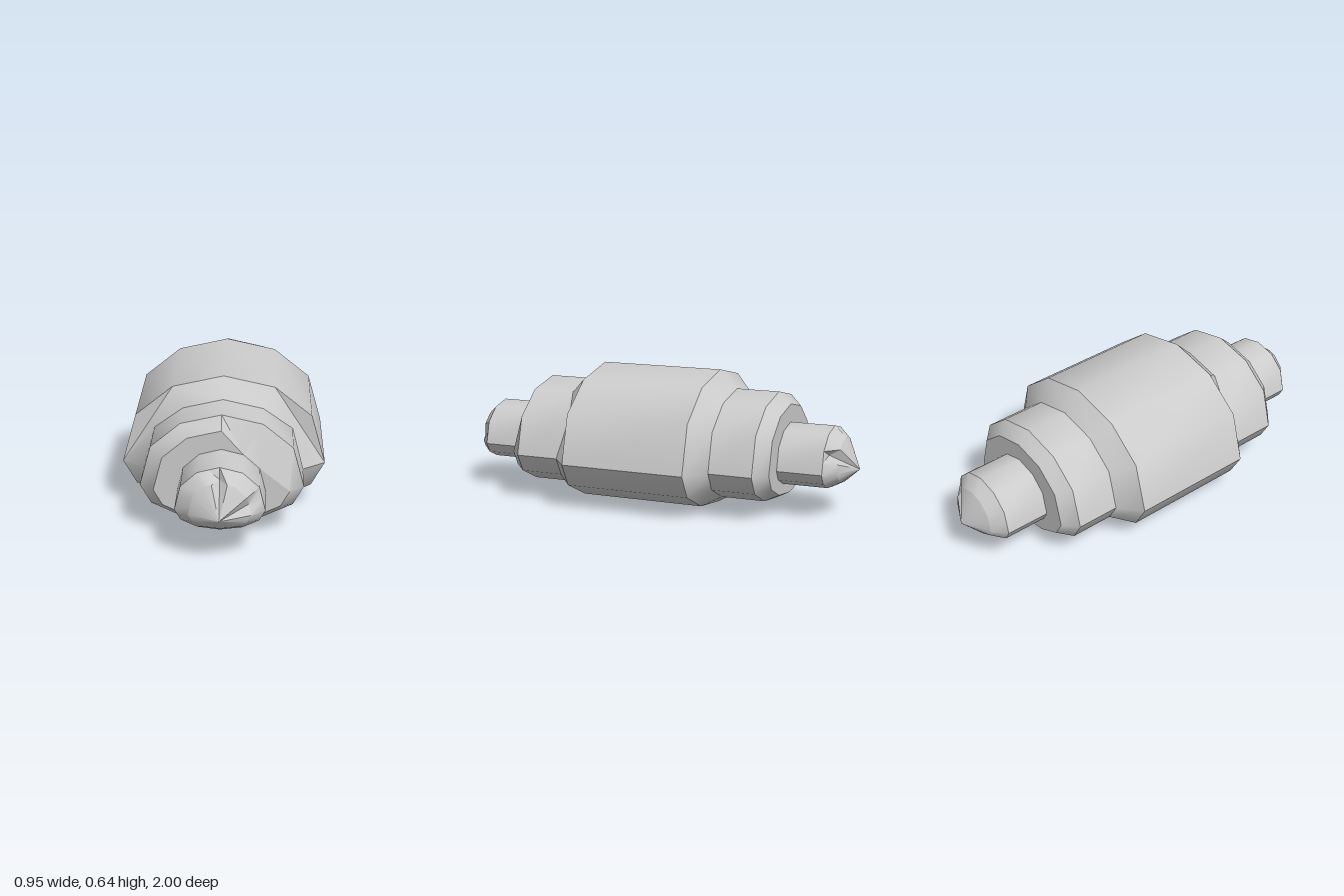
import * as THREE from 'three';
import { mergeGeometries, toCreasedNormals } from 'three/addons/utils/BufferGeometryUtils.js';

const CY = 0.225; // height of the long axis
const RISE = [0, 0.545, 0.875, 1, 0.875, 0.545]; // arch of the upper half

// Twelve-sided ring: half width w, taller upper half, shallow lower half
function ring(w, up, down, z) {
  return Array.from({ length: 12 }, (_, i) => {
    const a = (i * Math.PI) / 6;
    const y = i < 6 ? up * RISE[i] : down * Math.sin(a);
    return new THREE.Vector3(w * Math.cos(a), CY + y, z);
  });
}

// Adds the middle of every side, giving 24 points
function split(points) {
  return points.flatMap((p, i) => [p.clone(), p.clone().lerp(points[(i + 1) % 12], 0.5)]);
}

// Strip of faces between two rings, listed front ring first
function band(front, back) {
  const pos = [];
  const n = front.length;
  const face = (a, b, c) => {
    const area = b.clone().sub(a).cross(c.clone().sub(a)).length();
    if (area > 1e-7) for (const v of [a, b, c]) pos.push(v.x, v.y, v.z);
  };
  for (let i = 0; i < n; i++) {
    const j = (i + 1) % n;
    face(back[i], back[j], front[i]);
    face(back[j], front[j], front[i]);
  }
  const geo = new THREE.BufferGeometry();
  geo.setAttribute('position', new THREE.Float32BufferAttribute(pos, 3));
  return toCreasedNormals(geo, 0.7);
}

export function createModel() {
  const model = new THREE.Group();
  model.name = 'steppedCapsule';
  const material = new THREE.MeshStandardMaterial({ color: 0xcccccc, side: THREE.DoubleSide });

  const addPart = (name, rings) => {
    const bands = [];
    for (let i = 0; i + 1 < rings.length; i++) bands.push(band(rings[i], rings[i + 1]));
    const mesh = new THREE.Mesh(mergeGeometries(bands), material);
    mesh.name = name;
    model.add(mesh);
  };

  const hull = (z) => ring(0.475, 0.423, 0.222, z);
  const collar = (z) => ring(0.37, 0.337, 0.173, z);
  const collarEnd = (z) => ring(0.305, 0.283, 0.142, z);
  const shaft = (z) => ring(0.197, 0.197, 0.092, z);
  const tipRing = (z) => ring(0.135, 0.147, 0.063, z);

  // Front shoulder has its two upper corners cut straight across
  const cutHull = hull(0.305);
  const cutCollar = collar(0.39);
  for (const i of [1, 5]) {
    cutHull[i].copy(cutHull[i - 1]).lerp(cutHull[i + 1], 0.5);
    cutCollar[i].z = 0.345;
  }

  // Main body with both shoulders
  addPart('mainBody', [cutCollar, cutHull, hull(0.305), hull(-0.305), collar(-0.39)]);

  // Front collar: one upper quarter of its end slopes right into the shaft
  const frontEnd = collarEnd(0.66);
  for (const i of [1, 2]) frontEnd[i].copy(shaft(0.66)[i]);
  addPart('frontCollar', [shaft(0.66), frontEnd, collar(0.6), cutCollar]);
  addPart('rearCollar', [collar(-0.39), collar(-0.6), collarEnd(-0.66), shaft(-0.66)]);

  // Shafts
  addPart('frontShaft', [shaft(0.875), shaft(0.66)]);
  addPart('rearShaft', [shaft(-0.66), shaft(-0.875)]);

  // Pointed tips with small dents in the rim
  const apex = (z) => Array.from({ length: 24 }, () => new THREE.Vector3(0, CY, z));
  const frontRim = split(tipRing(0.93));
  frontRim[6].z -= 0.04;
  frontRim[1].z -= 0.03;
  const rearRim = split(tipRing(-0.93));
  rearRim[2].z += 0.045;
  addPart('frontTip', [apex(1), frontRim, split(shaft(0.875))]);
  addPart('rearTip', [split(shaft(-0.875)), rearRim, apex(-1)]);

  return model;
}
